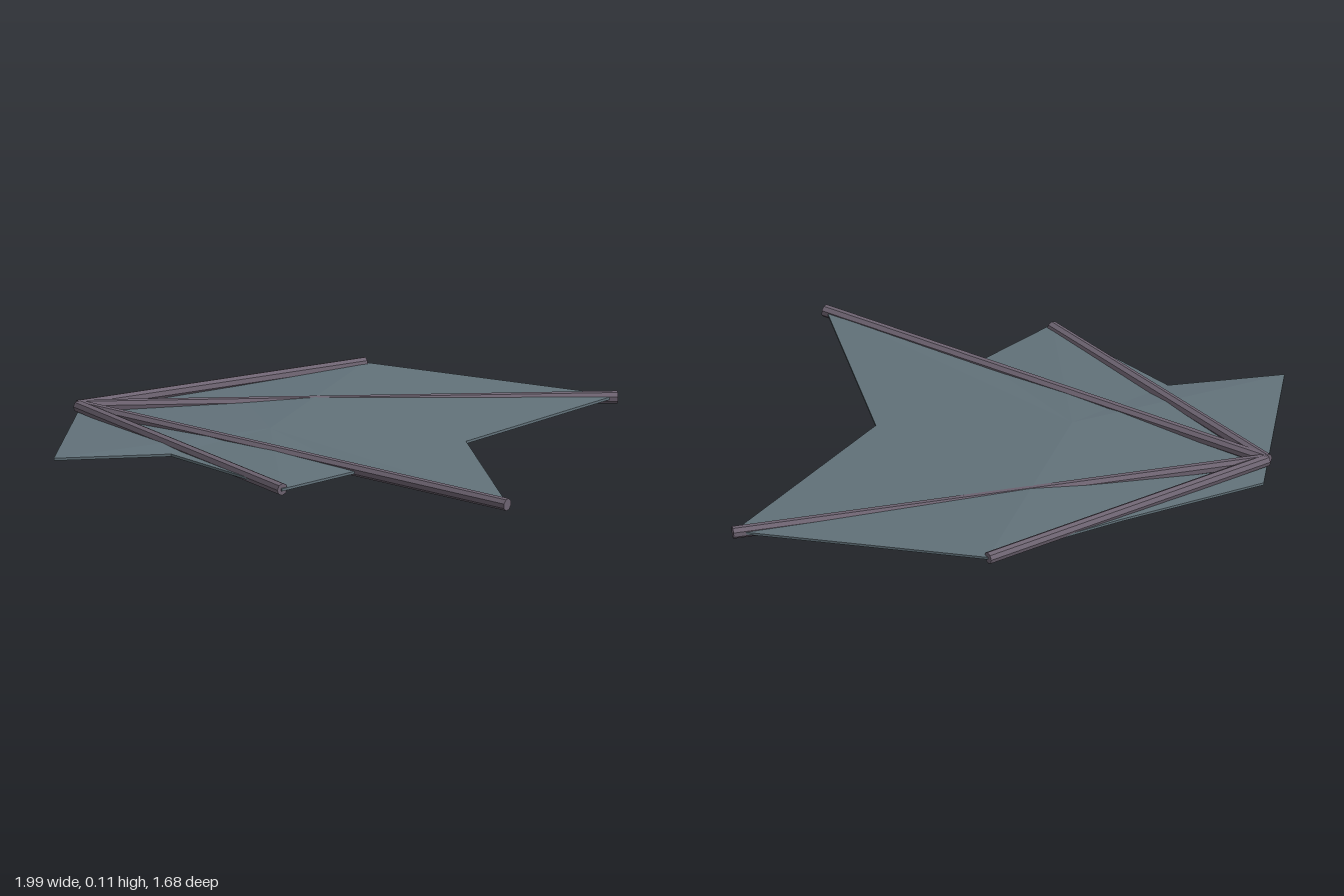
import * as THREE from 'three';

const boneMaterial = new THREE.MeshStandardMaterial({ color: 0x6e6472, flatShading: true });
const skinMaterial = new THREE.MeshStandardMaterial({ color: 0x62727a, flatShading: true });

// Straight eight-sided strut between two points
function strut(name, from, to, radius) {
  const dir = to.clone().sub(from);
  const mesh = new THREE.Mesh(new THREE.CylinderGeometry(radius, radius, dir.length(), 8), boneMaterial);
  mesh.name = name;
  mesh.position.copy(from).add(to).multiplyScalar(0.5);
  mesh.quaternion.setFromUnitVectors(new THREE.Vector3(0, 1, 0), dir.normalize());
  return mesh;
}

// Thin closed sheet: a fan around a raised centre, with top, underside and rim
function membrane(rim, centre, thickness) {
  const pos = [];
  const h = thickness / 2;
  const put = (p, dy) => pos.push(p[0], p[1] + dy, p[2]);
  rim.forEach((a, i) => {
    const b = rim[(i + 1) % rim.length];
    put(centre, h); put(a, h); put(b, h);
    put(centre, -h); put(b, -h); put(a, -h);
    put(a, h); put(a, -h); put(b, -h);
    put(a, h); put(b, -h); put(b, h);
  });
  const geo = new THREE.BufferGeometry();
  geo.setAttribute('position', new THREE.Float32BufferAttribute(pos, 3));
  geo.computeVertexNormals();
  const mesh = new THREE.Mesh(geo, skinMaterial);
  mesh.name = 'wingMembrane';
  return mesh;
}

export function createModel() {
  const wing = new THREE.Group();
  wing.name = 'wing';

  // Outline counter-clockwise seen from above: finger tips with notches between
  const rim = [
    [-0.98, 0.062, -0.20],
    [-0.98, 0.062, 0.54],
    [-0.55, 0.062, 0.42],
    [-0.22, 0.060, 0.67],
    [-0.07, 0.058, 0.79],
    [0.17, 0.058, 0.52],
    [0.79, 0.050, 0.81],
    [0.52, 0.050, 0.05],
    [0.98, 0.030, -0.69],
    [0.00, 0.073, -0.83],
    [-0.47, 0.066, -0.51],
  ];
  wing.add(membrane(rim, [-0.22, 0.083, 0.10], 0.01));

  // Finger bones spreading from the wing root
  const root = new THREE.Vector3(-0.98, 0.088, -0.075);
  const tips = [
    [0.0, 0.075, -0.83],
    [0.985, 0.028, -0.69],
    [0.795, 0.048, 0.815],
    [-0.07, 0.058, 0.78],
  ];
  const bones = new THREE.Group();
  bones.name = 'fingerBones';
  tips.forEach((t, i) => bones.add(strut(`fingerBone${i + 1}`, root, new THREE.Vector3(...t), 0.024)));
  wing.add(bones);

  return wing;
}
